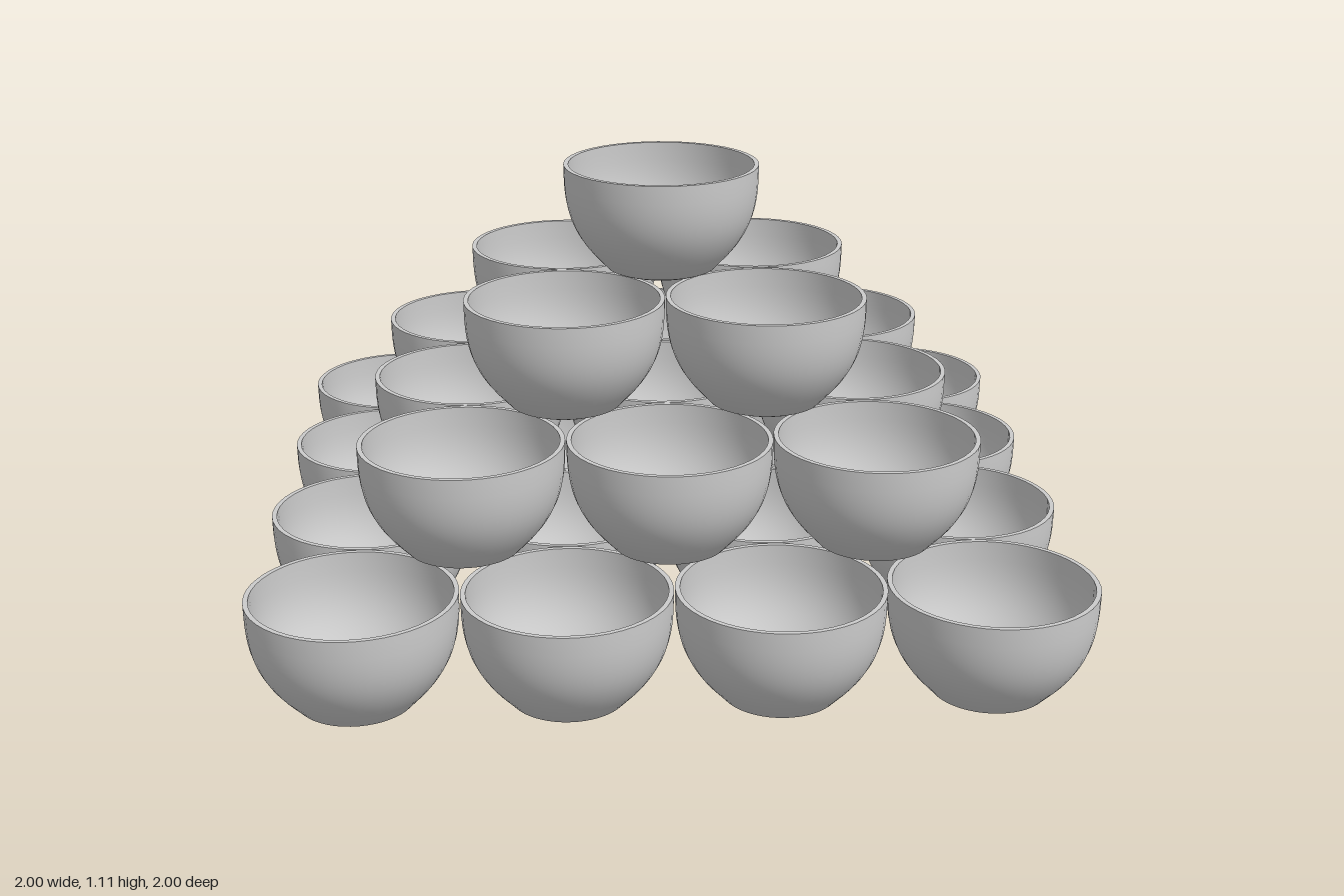
import * as THREE from 'three';
import { toCreasedNormals } from 'three/addons/utils/BufferGeometryUtils.js';

const PITCH = 0.5;   // spacing between bowl centres
const LAYER = 0.279; // height of one layer
const ROWS = 4;      // bowls per side on the bottom layer

const v = (x, y) => new THREE.Vector2(x, y);

// Thin-walled bowl with a small bevelled foot and a squared rim
function bowlGeometry() {
  const outer = new THREE.SplineCurve([
    v(0.152, 0.018), v(0.19, 0.06), v(0.22, 0.107), v(0.238, 0.155), v(0.247, 0.21), v(0.249, 0.274),
  ]).getPoints(13);
  const inner = new THREE.SplineCurve([
    v(0.237, 0.274), v(0.235, 0.21), v(0.226, 0.158), v(0.208, 0.112), v(0.18, 0.068), v(0.154, 0.036),
  ]).getPoints(13);
  const profile = [
    v(0, 0), v(0.128, 0), v(0.14, 0.005),
    ...outer, ...inner,
    v(0.13, 0.02), v(0, 0.02),
  ];
  return toCreasedNormals(new THREE.LatheGeometry(profile, 48), 0.45);
}

export function createModel() {
  const model = new THREE.Group();
  model.name = 'bowlPyramid';
  const geometry = bowlGeometry();
  const material = new THREE.MeshStandardMaterial({ color: 0xcccccc });

  // Square layers shrinking from 4 x 4 bowls to a single one
  for (let level = 0; level < ROWS; level++) {
    const n = ROWS - level;
    const layer = new THREE.Group();
    layer.name = `layer${level + 1}`;
    layer.position.y = level * LAYER;
    for (let i = 0; i < n; i++) {
      for (let j = 0; j < n; j++) {
        const bowl = new THREE.Mesh(geometry, material);
        bowl.name = 'bowl';
        bowl.position.set((i - (n - 1) / 2) * PITCH, 0, (j - (n - 1) / 2) * PITCH);
        layer.add(bowl);
      }
    }
    model.add(layer);
  }
  return model;
}
